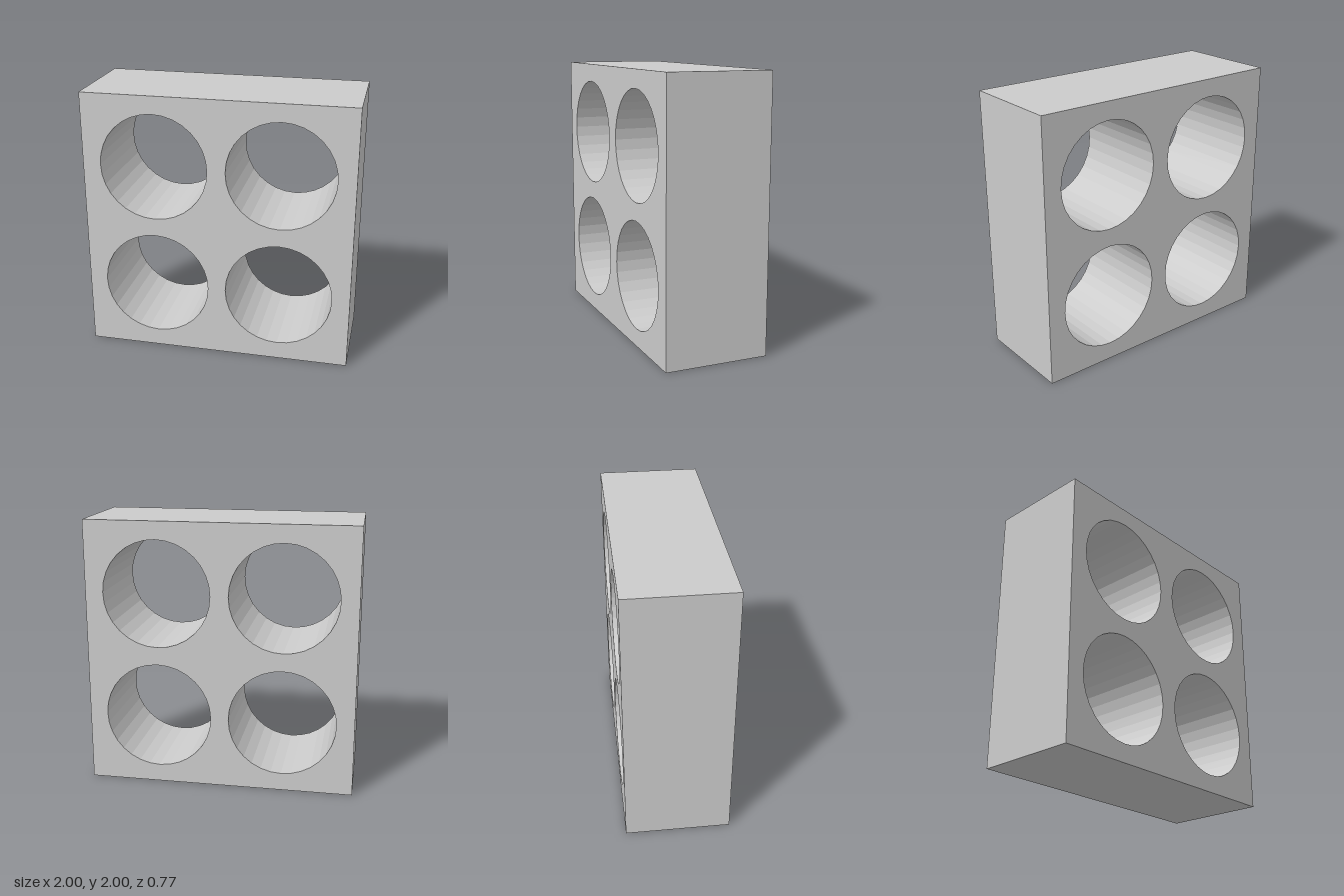
import * as THREE from 'three';

const DEPTH = 0.77;
const HOLE_RADIUS = 0.4;
const HOLE_OFFSET = 0.467;
const HOLE_SIDES = 32;

export function createModel() {
  const group = new THREE.Group();
  group.name = 'fourHoleBlock';

  // Square outline standing on y = 0
  const outline = new THREE.Shape([
    new THREE.Vector2(-1, 0),
    new THREE.Vector2(1, 0),
    new THREE.Vector2(1, 2),
    new THREE.Vector2(-1, 2),
  ]);

  // Two by two grid of round through-holes
  for (const sx of [-1, 1]) {
    for (const sy of [-1, 1]) {
      const points = [];
      for (let i = 0; i < HOLE_SIDES; i++) {
        const a = -(i / HOLE_SIDES) * Math.PI * 2;
        points.push(new THREE.Vector2(
          sx * HOLE_OFFSET + HOLE_RADIUS * Math.cos(a),
          1 + sy * HOLE_OFFSET + HOLE_RADIUS * Math.sin(a),
        ));
      }
      outline.holes.push(new THREE.Path(points));
    }
  }

  // Block body, centred in depth
  const geometry = new THREE.ExtrudeGeometry(outline, { depth: DEPTH, bevelEnabled: false });
  geometry.translate(0, 0, -DEPTH / 2);
  const block = new THREE.Mesh(
    geometry,
    new THREE.MeshStandardMaterial({ color: 0xcccccc, flatShading: true }),
  );
  block.name = 'block';
  group.add(block);

  return group;
}
